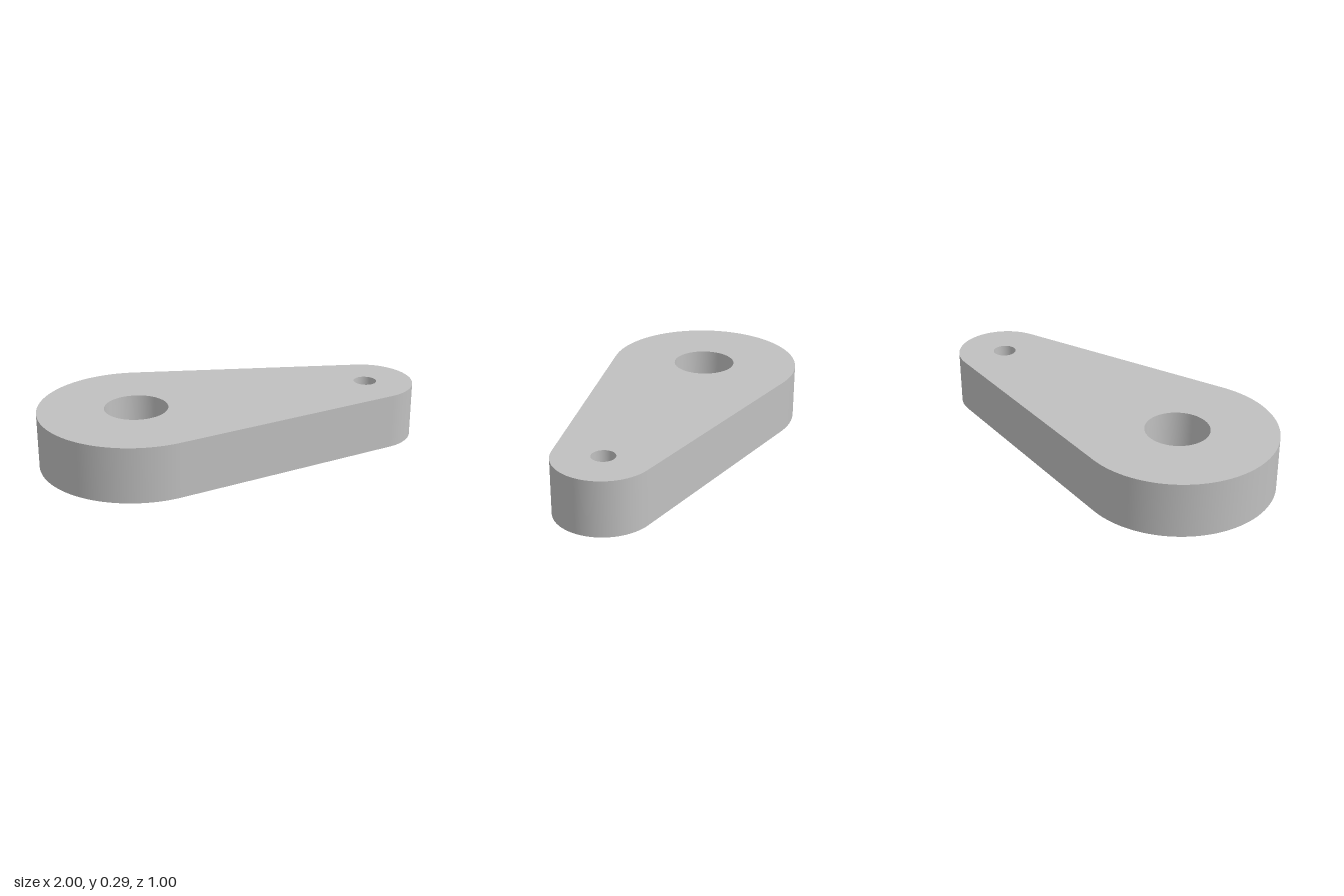
import * as THREE from 'three';

const HEIGHT = 0.287, RECESS_DEPTH = 0.07, SEGMENTS = 48;
const BIG = { x: -0.5, r: 0.5 }, SMALL = { x: 0.75, r: 0.25 };
const BORE_R = 0.162, PIN_R = 0.06, RECESS_R = 0.452;

// Outline: two circles joined by their common tangents
function outlineShape() {
  const a = Math.acos((BIG.r - SMALL.r) / (SMALL.x - BIG.x));
  const s = new THREE.Shape();
  s.absarc(BIG.x, 0, BIG.r, a, 2 * Math.PI - a, false);
  s.absarc(SMALL.x, 0, SMALL.r, -a, a, false);
  s.closePath();
  return s;
}

function circle(Type, x, r, clockwise) {
  const c = new Type();
  c.absarc(x, 0, r, 0, Math.PI * 2, clockwise);
  return c;
}

// Smooth wall along a closed path: counter-clockwise faces out, clockwise faces in
function wall(path, y0, y1) {
  const pts = path.getPoints(SEGMENTS);
  if (pts[0].distanceTo(pts[pts.length - 1]) < 1e-6) pts.pop();
  const n = pts.length, pos = [], index = [];
  pts.forEach((p, i) => {
    pos.push(p.x, y0, -p.y, p.x, y1, -p.y);
    const a = 2 * i, b = 2 * ((i + 1) % n);
    index.push(a, b, b + 1, a, b + 1, a + 1);
  });
  const g = new THREE.BufferGeometry();
  g.setAttribute('position', new THREE.Float32BufferAttribute(pos, 3));
  g.setIndex(index);
  g.computeVertexNormals();
  return g;
}

// Flat face with holes at height y, facing up or down
function face(shape, holes, y, up) {
  shape.holes.push(...holes);
  const g = new THREE.ShapeGeometry(shape, SEGMENTS);
  return g.rotateX(up ? -Math.PI / 2 : Math.PI / 2).translate(0, y, 0);
}

export function createModel() {
  const group = new THREE.Group();
  group.name = 'leverArm';
  const metal = new THREE.MeshStandardMaterial({ color: 0xc0c0c0 });
  metal.name = 'light grey';
  const add = (name, geometry) => {
    const mesh = new THREE.Mesh(geometry, metal);
    mesh.name = name;
    group.add(mesh);
  };

  const bore = circle(THREE.Path, BIG.x, BORE_R, true);
  const pin = circle(THREE.Path, SMALL.x, PIN_R, true);
  const recess = circle(THREE.Path, BIG.x, RECESS_R, true);

  // Plate faces and rim
  add('topFace', face(outlineShape(), [bore, pin], HEIGHT, true));
  add('bottomFace', face(outlineShape(), [recess, pin], 0, false));
  add('outerRim', wall(outlineShape(), 0, HEIGHT));

  // Through holes
  add('largeBore', wall(bore, RECESS_DEPTH, HEIGHT));
  add('smallBore', wall(pin, 0, HEIGHT));

  // Round recess in the underside
  add('recessWall', wall(recess, 0, RECESS_DEPTH));
  add('recessFloor', face(circle(THREE.Shape, BIG.x, RECESS_R, false), [bore], RECESS_DEPTH, false));

  return group;
}
